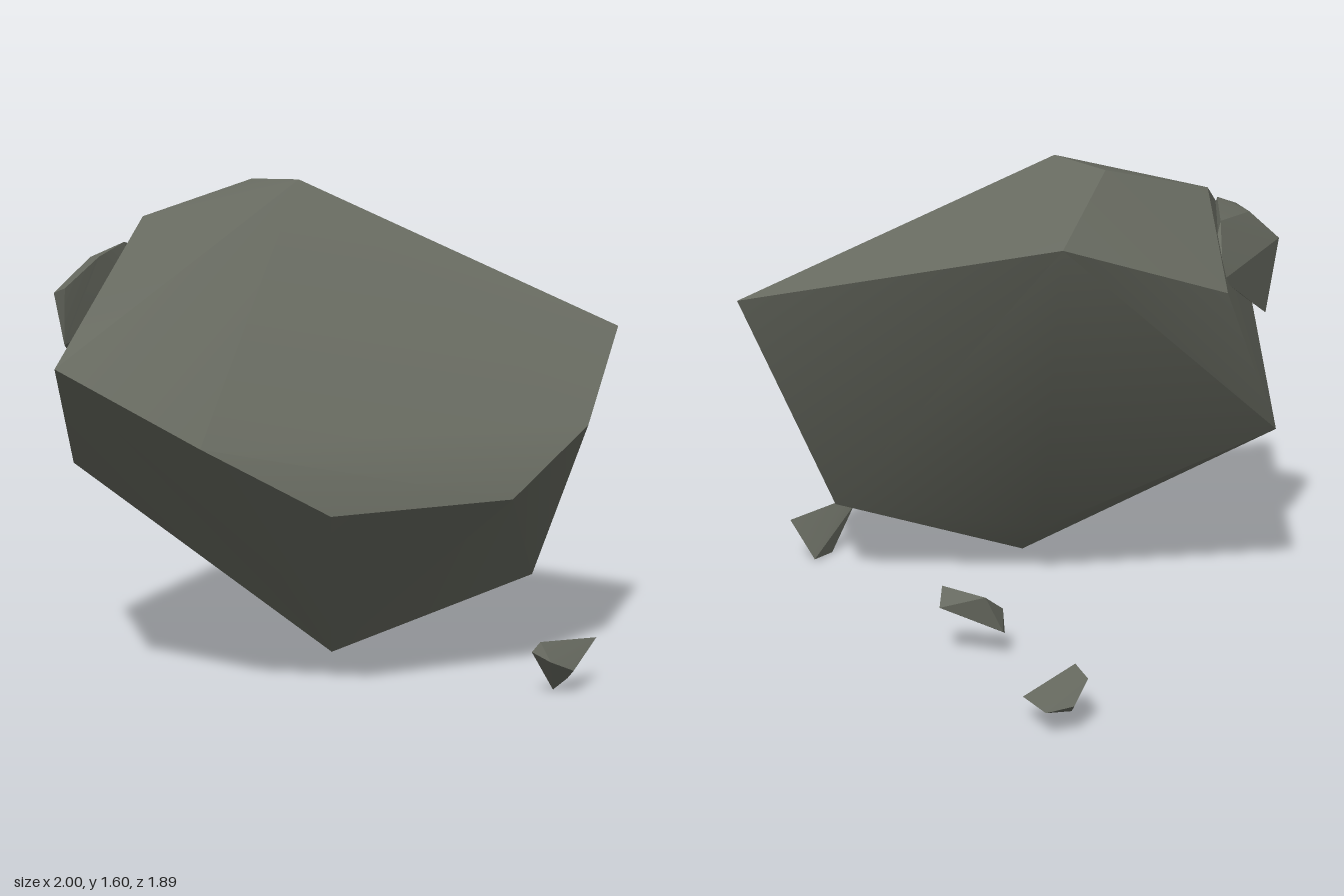
import * as THREE from 'three';
import { ConvexGeometry } from 'three/addons/geometries/ConvexGeometry.js';
import { toCreasedNormals } from 'three/addons/utils/BufferGeometryUtils.js';

// Corner points of each faceted stone
const boulderCorners = [
  // rim of the broad sloping face
  [-1, 1.09, 0.62], [-0.63, 0.865, 0.87], [-0.23, 0.64, 0.915], [0.4, 0.64, 0.88],
  [0.72, 0.84, 0.775], [1, 1.11, 0.46], [0, 1.6, 0.075],
  // crest
  [-0.07, 1.59, -0.18], [-0.49, 1.48, -0.09],
  // back
  [0.17, 1.39, -0.385], [-0.42, 1.19, -0.385], [-0.7, 0.64, -0.23],
  // pointed underside
  [-0.02, 0.075, 0.42], [0.65, 0.305, 0.54], [-0.04, 0.2, 0.28],
];

const embeddedCorners = [
  [-0.83, 1.25, 0.02], [-0.81, 1.27, 0.08], [-0.7, 1.37, 0.1], [-0.6, 1.41, 0.05],
  [-0.7, 1.36, 0], [-0.5, 1.38, -0.17], [-0.44, 1.3, -0.24], [-0.43, 1.22, -0.33],
  [-0.74, 1.01, -0.06], [-0.8, 1.08, 0.03], [-0.5, 1.2, 0],
];

const backChipCorners = [
  [0.31, 0.17, -0.8], [0.32, 0.17, -0.92], [0.38, 0.1, -0.95],
  [0.47, 0.09, -0.94], [0.48, 0.08, -0.78], [0.34, 0.03, -0.84],
];

const middleChipCorners = [
  [0.53, 0.25, -0.21], [0.42, 0.23, -0.32], [0.555, 0.19, -0.25], [0.52, 0.17, -0.17],
  [0.33, 0.15, -0.25], [0.34, 0.07, -0.21], [0.36, 0.1, -0.325], [0.34, 0.08, -0.29],
];

const frontChipCorners = [
  [0.49, 0.18, 0.91], [0.46, 0.15, 0.91], [0.51, 0.12, 0.945], [0.6, 0.08, 0.93],
  [0.73, 0.155, 0.84], [0.66, 0.01, 0.78], [0.57, 0, 0.85],
];

export function createModel() {
  const group = new THREE.Group();
  group.name = 'floatingRocks';
  const stone = new THREE.MeshStandardMaterial({ color: 0x676a60 });
  stone.name = 'darkStone';

  // Convex stone, shallow facets blended and strong edges kept sharp
  const addStone = (name, corners, crease) => {
    const hull = new ConvexGeometry(corners.map((c) => new THREE.Vector3(...c)));
    const mesh = new THREE.Mesh(toCreasedNormals(hull, crease), stone);
    mesh.name = name;
    group.add(mesh);
  };

  addStone('boulder', boulderCorners, 0.5);
  addStone('embeddedStone', embeddedCorners, 0.4);
  addStone('backChip', backChipCorners, 0.3);
  addStone('middleChip', middleChipCorners, 0.3);
  addStone('frontChip', frontChipCorners, 0.3);
  return group;
}
